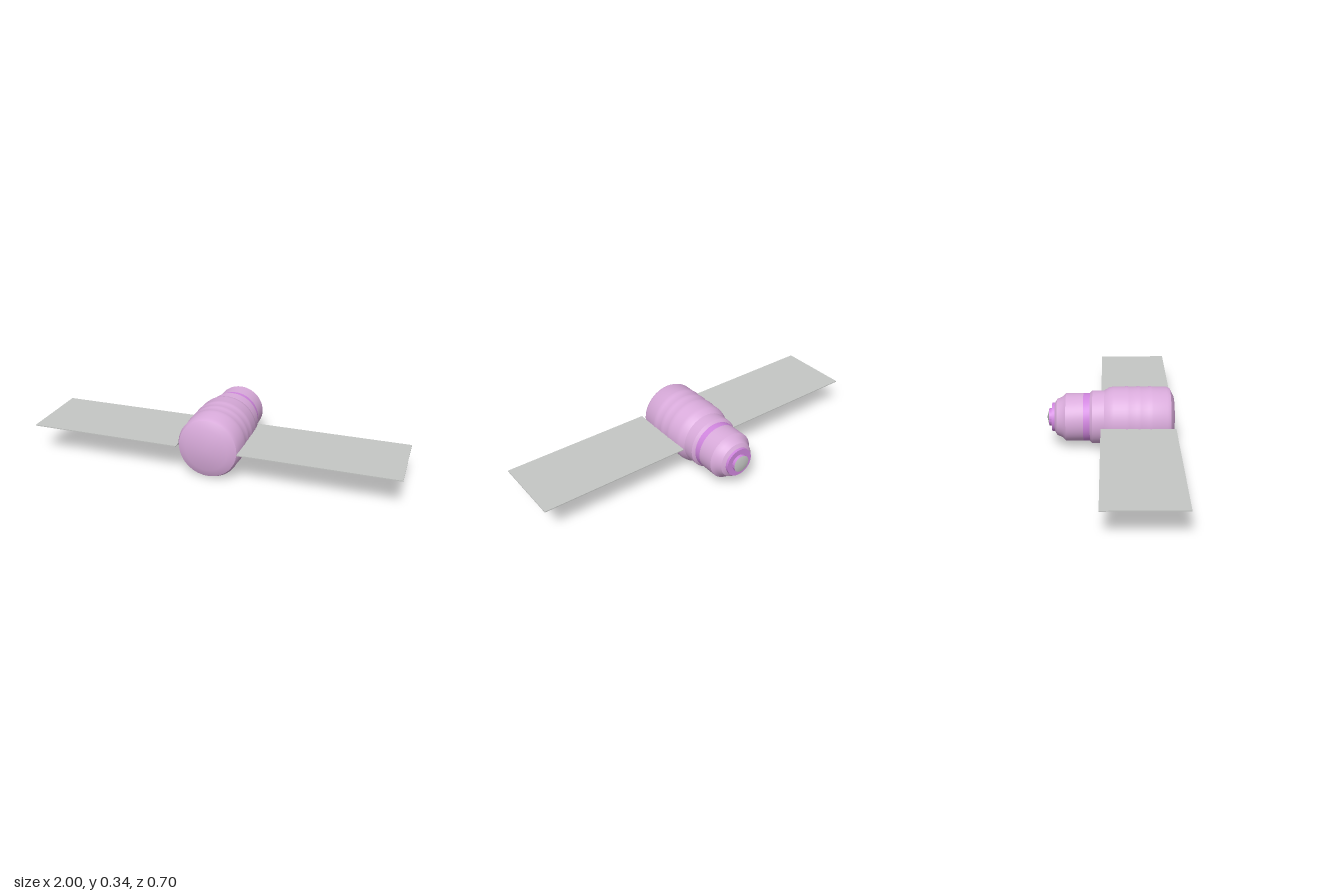
import * as THREE from 'three';
import { toCreasedNormals } from 'three/addons/utils/BufferGeometryUtils.js';

const AXIS_Y = 0.175;

function material(name, color) {
  const m = new THREE.MeshStandardMaterial({ color });
  m.name = name;
  return m;
}

// Solid of revolution along z; profile is [z, radius], running from back to front
function turned(name, profile, mat) {
  const points = profile.map(([z, r]) => new THREE.Vector2(r, z));
  const geometry = new THREE.LatheGeometry(points, 48).rotateX(Math.PI / 2);
  const mesh = new THREE.Mesh(toCreasedNormals(geometry, 0.5), mat);
  mesh.name = name;
  mesh.position.y = AXIS_Y;
  return mesh;
}

export function createModel() {
  const lavender = material('lavender hull', 0xd9abdb);
  const violet = material('violet trim', 0xd086de);
  const grey = material('grey panel', 0xc4c6c4);
  const model = new THREE.Group();
  model.name = 'spacecraft';

  // Wide front hull with three raised ribs
  const ribs = [0.088, 0.153, 0.217].flatMap(z => [[z - 0.013, 0.168], [z, 0.171], [z + 0.012, 0.168]]);
  model.add(turned('frontHull', [
    [-0.114, 0.133], [-0.1, 0.147], [-0.035, 0.147], [-0.006, 0.164], [0.016, 0.168],
    ...ribs,
    [0.305, 0.168], [0.325, 0.158], [0.346, 0.115], [0.346, 0],
  ], lavender));

  // Coloured band and the narrower rear hull
  model.add(turned('band', [[-0.15, 0.133], [-0.114, 0.133]], violet));
  model.add(turned('rearHull', [
    [-0.307, 0.08], [-0.295, 0.1], [-0.265, 0.113], [-0.245, 0.133], [-0.15, 0.133],
  ], lavender));

  // Stepped docking end with a shallow cone cap
  model.add(turned('dockingRing', [[-0.322, 0.048], [-0.322, 0.08], [-0.307, 0.08]], violet));
  model.add(turned('dockingCollar', [[-0.339, 0.048], [-0.322, 0.048]], violet));
  model.add(turned('endCap', [[-0.351, 0], [-0.339, 0.048]], grey));

  // Thin solar panels on both sides
  for (const [side, name] of [[1, 'leftPanel'], [-1, 'rightPanel']]) {
    const panel = new THREE.Mesh(new THREE.BoxGeometry(0.834, 0.005, 0.406), grey);
    panel.name = name;
    panel.position.set(side * 0.583, AXIS_Y, 0.148);
    model.add(panel);
  }

  // Rest the ribs on the ground
  model.position.y = -0.004;
  return model;
}
